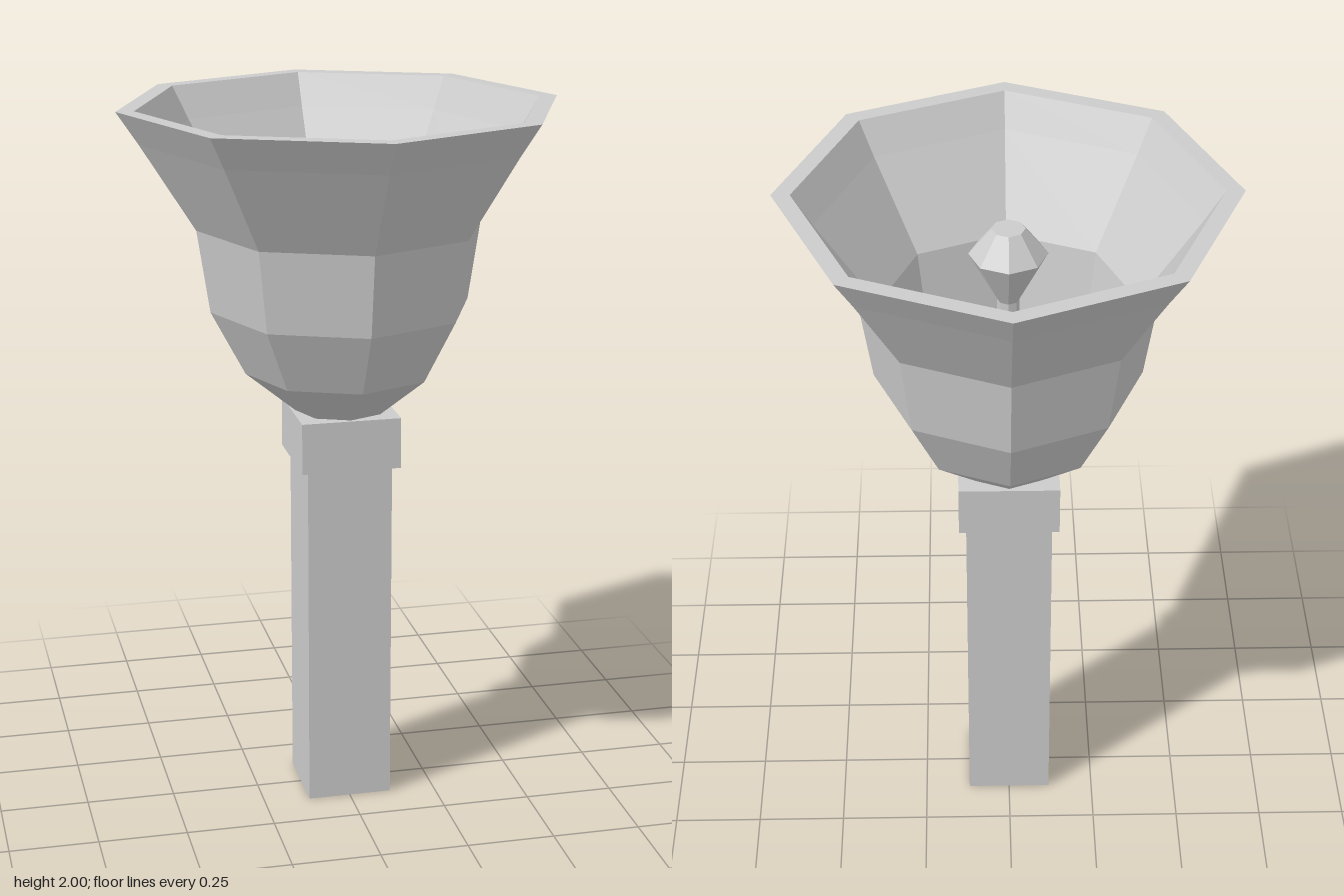
import * as THREE from 'three';

export function createModel() {
  const model = new THREE.Group();
  const stone = new THREE.MeshStandardMaterial({ color: 0xcccccc, flatShading: true });
  stone.name = 'grey';

  const add = (name, geometry, y = 0) => {
    const mesh = new THREE.Mesh(geometry, stone);
    mesh.name = name;
    mesh.position.y = y;
    model.add(mesh);
  };
  // Eight-sided turned part from [radius, height] pairs
  const turned = (profile) =>
    new THREE.LatheGeometry(profile.map(([r, y]) => new THREE.Vector2(r, y)), 8);

  // Square handle and the collar above it
  add('handle', new THREE.BoxGeometry(0.24, 1, 0.24), 0.5);
  add('collar', new THREE.BoxGeometry(0.28, 0.145, 0.28), 1.0725);

  // Upturned bell: outer wall up to the rim, then the inner wall down
  add('bell', turned([
    [0, 1.145], [0.13, 1.145], [0.27, 1.26], [0.365, 1.44], [0.4, 1.67], [0.55, 1.91], [0.61, 2],
    [0.56, 2], [0.505, 1.91], [0.345, 1.67], [0.31, 1.44], [0.22, 1.26], [0.06, 1.19], [0, 1.19],
  ]));

  // Clapper: thin stem widening to a faceted knob
  add('clapper', turned([
    [0.03, 1.18], [0.03, 1.68], [0.105, 1.82], [0.045, 1.895], [0, 1.895],
  ]));

  return model;
}
